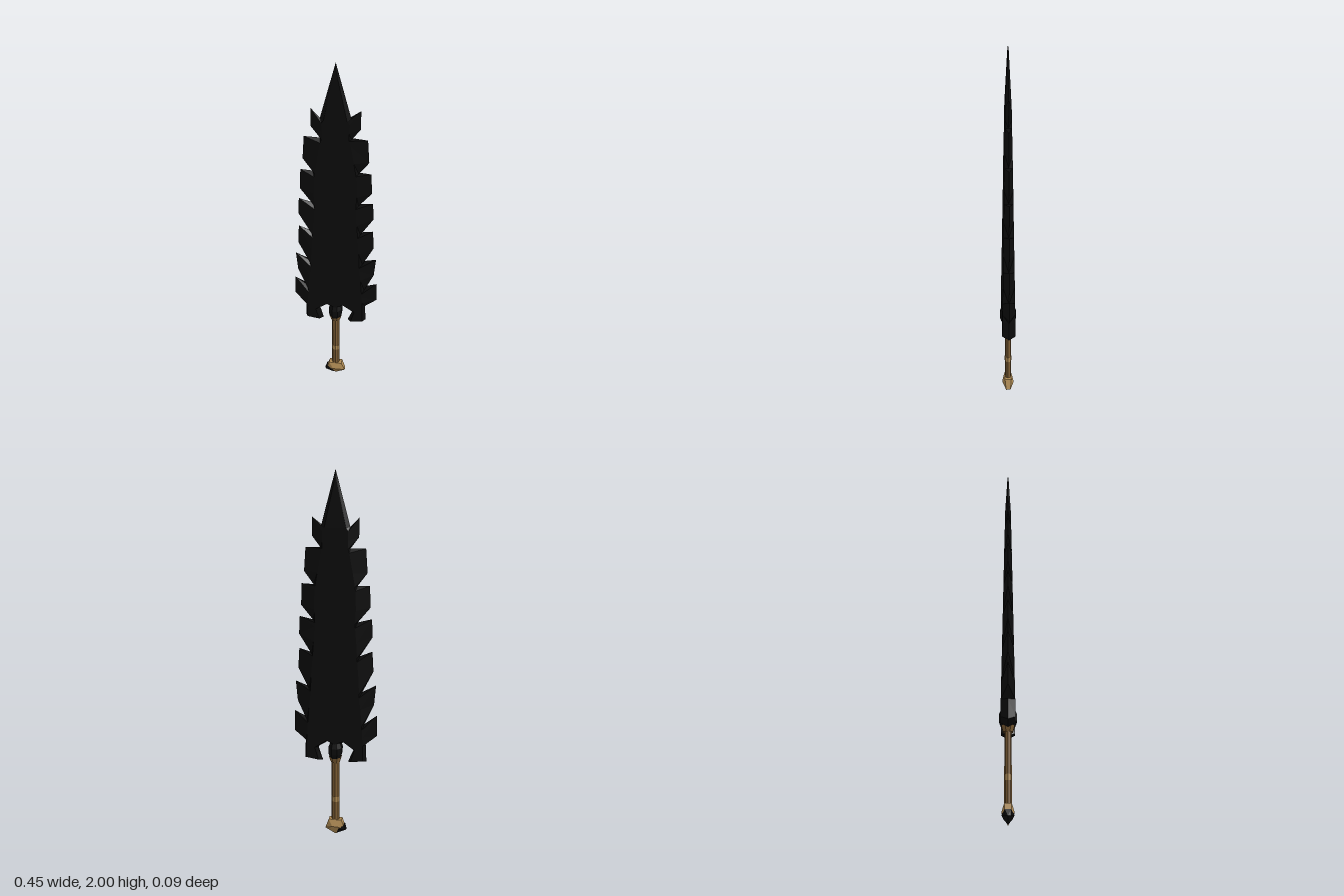
import * as THREE from 'three';
import { ConvexGeometry } from 'three/addons/geometries/ConvexGeometry.js';

// Half outline from the tip down: sharp rim x, y, then flat core x, y
const HALF = [
  [0, 2, 0, 1.97],
  [.074, 1.725, .055, 1.72], [.118, 1.772, .066, 1.705], [.118, 1.677, .064, 1.66],
  [.075, 1.62, .066, 1.62], [.153, 1.622, .072, 1.6], [.162, 1.5, .09, 1.5],
  [.113, 1.434, .102, 1.43], [.175, 1.437, .105, 1.41], [.18, 1.325, .108, 1.31],
  [.115, 1.245, .104, 1.24], [.188, 1.265, .105, 1.22], [.193, 1.17, .112, 1.14],
  [.128, 1.065, .117, 1.06], [.193, 1.093, .118, 1.04], [.2, .985, .125, .96],
  [.143, .868, .13, .865], [.215, .91, .13, .845], [.206, .8, .138, .78],
  [.157, .688, .146, .685], [.222, .74, .147, .665], [.226, .625, .15, .62],
  [.165, .572, .153, .572], [.17, .47, .155, .485], [.069, .46, .088, .475],
  [.1, .535, .108, .545], [.045, .572, .045, .59], [0, .55, 0, .57],
];

// Half thickness of the blade at a height
const depth = (y) => Math.min(.036 - (y - .5) * .0168, (2 - y) * .125);

function fromTriangles(points) {
  const g = new THREE.BufferGeometry().setFromPoints(points);
  g.computeVertexNormals();
  return g;
}

// Flat core on both sides, bevelled down to a sharp toothed rim
function bladeGeometry() {
  const right = [...HALF].reverse();
  const left = HALF.slice(1, -1).map(([x, y, cx, cy]) => [-x, y, -cx, cy]);
  const outline = [...right, ...left];
  const core2 = outline.map((p) => new THREE.Vector2(p[2], p[3]));
  const faces = THREE.ShapeUtils.triangulateShape(core2, []);
  const points = [];
  for (const side of [1, -1]) {
    const rim = outline.map((p) => new THREE.Vector3(p[0], p[1], 0));
    const core = core2.map((p) => new THREE.Vector3(p.x, p.y, side * depth(p.y)));
    const add = (a, b, c) => points.push(...(side > 0 ? [a, b, c] : [a, c, b]));
    for (const [a, b, c] of faces) add(core[a], core[b], core[c]);
    outline.forEach((_, i) => {
      const j = (i + 1) % outline.length;
      add(rim[i], rim[j], core[j]);
      add(rim[i], core[j], core[i]);
    });
  }
  return fromTriangles(points);
}

// Worn patch lying on the bevel of a left-hand tooth, between rim fractions
function wearGeometry(index, start, end) {
  const at = (p, t, side) => new THREE.Vector3(
    -THREE.MathUtils.lerp(p[0], p[2], t),
    THREE.MathUtils.lerp(p[1], p[3], t),
    side * (depth(p[3]) * t + .0015));
  const points = [];
  for (const side of [1, -1]) {
    const [p, q] = [HALF[index], HALF[index + 1]];
    const a = at(p, start, side), b = at(q, start, side);
    const c = at(q, end, side), d = at(p, end, side);
    points.push(...(side > 0 ? [a, d, c, a, c, b] : [a, c, d, a, b, c]));
  }
  return fromTriangles(points);
}

export function createModel() {
  const group = new THREE.Group();
  const material = (name, color) => {
    const m = new THREE.MeshStandardMaterial({ color, flatShading: true });
    m.name = name;
    return m;
  };
  const black = material('black metal', 0x0c0c0c);
  const grey = material('worn grey', 0x5a5a5a);
  const bronze = material('bronze', 0x7e5e35);
  const gold = material('pale gold', 0xb08c55);

  const add = (name, geometry, mat) => {
    const mesh = new THREE.Mesh(geometry, mat);
    mesh.name = name;
    group.add(mesh);
    return mesh;
  };
  const lathe = (profile, sides) => new THREE.LatheGeometry(
    profile.map(([r, y]) => new THREE.Vector2(r, y)), sides, Math.PI / sides);
  const convex = (list) => new ConvexGeometry(list.map((p) => new THREE.Vector3(...p)));

  // Blade and the worn patches on its teeth
  add('blade', bladeGeometry(), black);
  add('upperToothWear', wearGeometry(5, 0, .3), grey);
  add('middleToothWear', wearGeometry(8, .25, .6), grey);
  add('lowerToothWear', wearGeometry(17, 0, .2), grey);

  // Faceted guard socket and the collar below it
  const guard = add('guard',
    lathe([[0, .485], [.038, .485], [.048, .51], [.048, .545], [.034, .575], [0, .575]], 8), black);
  guard.scale.x = .82;
  add('collar', lathe([[0, .455], [.026, .455], [.036, .487], [0, .487]], 8), bronze);

  // Grip with a pale worn band
  const grip = add('grip', new THREE.CylinderGeometry(.022, .022, .38, 8), bronze);
  grip.position.y = .28;
  grip.scale.z = .82;
  const band = add('gripBand', new THREE.CylinderGeometry(.023, .023, .03, 8), gold);
  band.position.y = .23;
  band.scale.z = .82;

  // Faceted pommel with one dark corner
  const pommel = [[0, .005, 0]];
  for (const x of [-1, 1]) {
    for (const z of [-1, 1]) {
      pommel.push([x * .036, .103, z * .018], [x * .056, .045, z * .012], [x * .014, .065, z * .031]);
    }
  }
  add('pommel', convex(pommel), gold);
  const corner = [[-.064, .04, 0], [-.008, .01, 0]];
  for (const z of [-1, 1]) {
    corner.push([-.052, .072, z * .015], [-.058, .042, z * .014], [-.02, .05, z * .031], [-.012, .03, z * .02]);
  }
  add('pommelCorner', convex(corner), black);

  return group;
}
